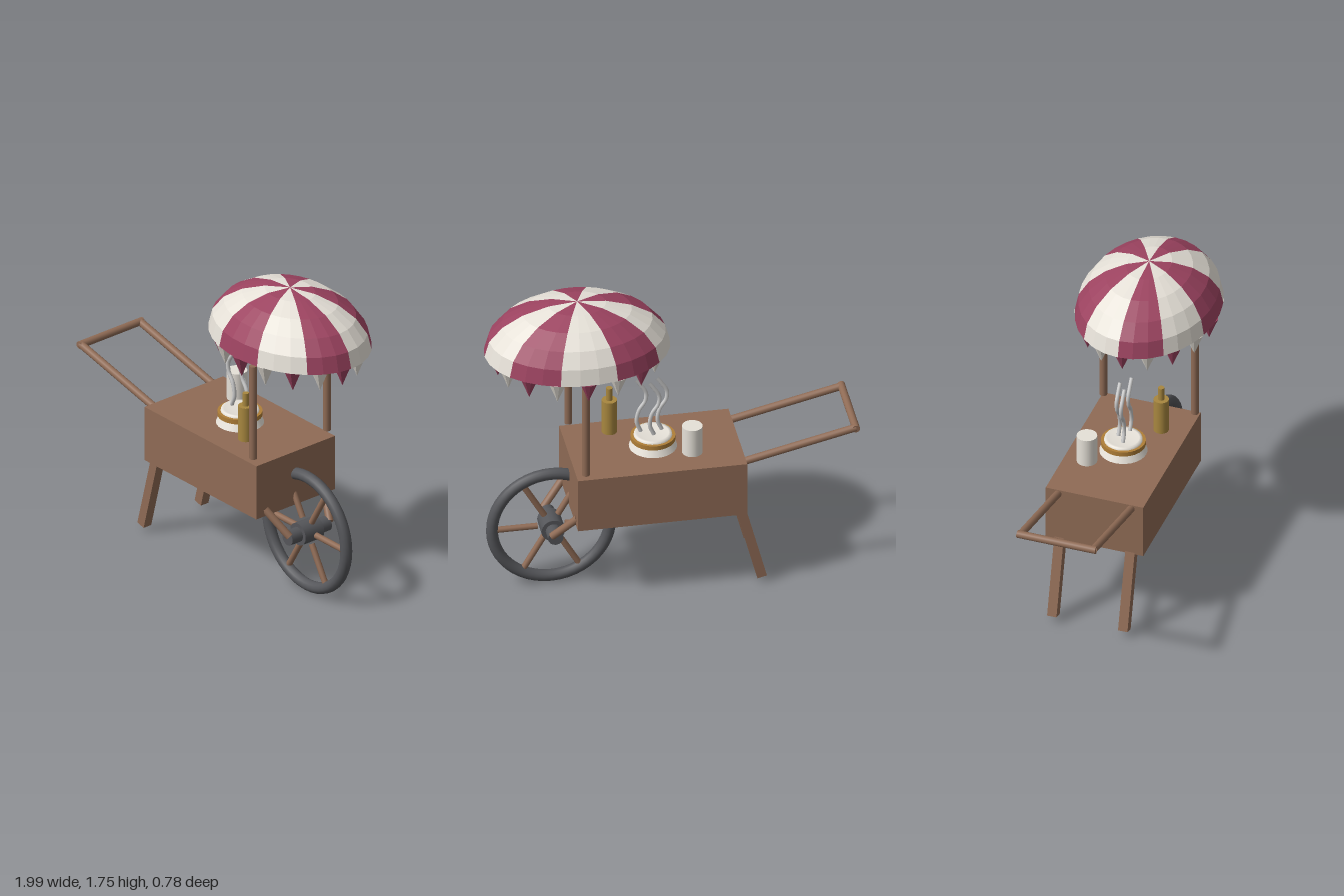
import * as THREE from 'three';

const mat = (color, extra = {}) => new THREE.MeshStandardMaterial({ color, ...extra });

export function createModel() {
  const model = new THREE.Group();
  const wood = mat(0x8f6b55);
  const iron = mat(0x55565a);
  const cream = mat(0xe6e1d8);
  const mustard = mat(0xa8873f);
  const brass = mat(0xb07f38);
  const grey = mat(0xcccccc);
  const clothRed = mat(0x9c4360, { flatShading: true, side: THREE.DoubleSide });
  const clothCream = mat(0xe6e1d8, { flatShading: true, side: THREE.DoubleSide });

  const add = (name, geometry, material, x = 0, y = 0, z = 0, parent = model) => {
    const mesh = new THREE.Mesh(geometry, material);
    mesh.name = name;
    mesh.position.set(x, y, z);
    parent.add(mesh);
    return mesh;
  };

  // Round or square bar between two points
  const bar = (name, a, b, size, material, square = false) => {
    const from = new THREE.Vector3(...a);
    const to = new THREE.Vector3(...b);
    const length = from.distanceTo(to);
    const geometry = square
      ? new THREE.BoxGeometry(size, length, size)
      : new THREE.CylinderGeometry(size, size, length, 16);
    const mesh = add(name, geometry, material);
    mesh.position.lerpVectors(from, to, 0.5);
    mesh.quaternion.setFromUnitVectors(new THREE.Vector3(0, 1, 0), to.sub(from).normalize());
    return mesh;
  };

  // Cart box
  add('cartBody', new THREE.BoxGeometry(0.915, 0.317, 0.55), wood, 0.078, 0.634, 0);

  // Paired parts on both sides
  for (const s of [1, -1]) {
    bar('leg', [-0.348, 0.5, 0.2 * s], [-0.469, 0.036, 0.2 * s], 0.053, wood, true);
    bar('handleRail', [-0.375, 0.768, 0.206 * s], [-0.98, 0.91, 0.206 * s], 0.021, wood);
    bar('canopyPost', [0.49, 0.818, 0.258 * s], [0.49, 1.37, 0.258 * s], 0.021, wood);
    bar('axleStrut', [0.525, 0.51, 0.205 * s], [0.65, 0.372, 0.14 * s], 0.021, wood);
  }
  bar('handleGrip', [-0.978, 0.91, -0.222], [-0.978, 0.91, 0.222], 0.021, wood);

  // Wheel
  const [wx, wy] = [0.63, 0.355];
  add('tyre', new THREE.TorusGeometry(0.32, 0.032, 14, 48), iron, wx, wy, 0);
  bar('hub', [wx, wy, -0.065], [wx, wy, 0.065], 0.064, iron);
  bar('axle', [wx, wy, -0.138], [wx, wy, 0.138], 0.042, iron);
  for (let i = 0; i < 6; i++) {
    const c = Math.cos((i * Math.PI) / 3);
    const s = Math.sin((i * Math.PI) / 3);
    bar('spoke', [wx + 0.075 * c, wy + 0.075 * s, 0], [wx + 0.295 * c, wy + 0.295 * s, 0], 0.017, wood);
  }

  // Striped oval canopy: ten panels of a flattened dome
  const canopy = new THREE.Group();
  canopy.name = 'canopy';
  canopy.position.set(0.49, 1.46, 0);
  model.add(canopy);
  const panelArc = Math.PI / 5;
  for (let i = 0; i < 10; i++) {
    const panel = new THREE.SphereGeometry(1, 2, 5, i * panelArc, panelArc, 0, Math.PI / 2);
    panel.scale(0.5, 0.292, 0.382);
    // the panel centred on +z is red
    add('canopyPanel', panel, i % 2 ? clothRed : clothCream, 0, 0, 0, canopy);
  }
  const frontPanel = canopy.children.find((p) => {
    p.geometry.computeBoundingBox();
    const b = p.geometry.boundingBox;
    return Math.abs(b.min.x + b.max.x) < 0.01 && b.max.z > 0.3;
  });
  if (frontPanel && frontPanel.material !== clothRed) {
    canopy.children.forEach((p) => (p.material = p.material === clothRed ? clothCream : clothRed));
  }

  // Hanging cone fringe
  for (let i = 0; i < 16; i++) {
    const a = (i * Math.PI) / 8;
    const cone = new THREE.ConeGeometry(0.05, 0.125, 10);
    cone.rotateX(Math.PI);
    add('fringeCone', cone, i % 2 ? clothCream : clothRed,
      0.428 * Math.cos(a), -0.063, 0.338 * Math.sin(a), canopy);
  }

  // Bowl with brass band
  const turned = (points) =>
    new THREE.LatheGeometry(points.map(([r, y]) => new THREE.Vector2(r, y)), 28);
  add('bowlBase', new THREE.CylinderGeometry(0.1, 0.13, 0.06, 28), cream, 0.08, 0.82, 0);
  add('bowlBand', new THREE.CylinderGeometry(0.12, 0.12, 0.026, 28), brass, 0.08, 0.848, 0);
  add('bowlTop', turned([[0.104, 0], [0.1, 0.016], [0.085, 0.016], [0.06, 0.01], [0, 0.008]]),
    cream, 0.08, 0.858, 0);

  // Steam wisps
  [[0.03, 0.015], [0.08, -0.028], [0.143, 0.015]].forEach(([x, z]) => {
    const path = new THREE.CatmullRomCurve3(
      [[0, 0.88], [0.022, 0.94], [0.01, 1.01], [-0.025, 1.07], [-0.028, 1.12], [0, 1.17], [0.027, 1.208]]
        .map(([dx, y]) => new THREE.Vector3(x + dx, y, z)));
    add('steam', new THREE.TubeGeometry(path, 40, 0.011, 8), grey);
  });

  // Cup and sauce bottle
  add('cup', new THREE.CylinderGeometry(0.055, 0.055, 0.165, 24), cream, -0.107, 0.9, -0.139);
  add('bottleBody', new THREE.CylinderGeometry(0.041, 0.041, 0.2, 24), mustard, 0.29, 0.917, 0.139);
  add('bottleNeck', new THREE.CylinderGeometry(0.017, 0.017, 0.08, 16), mustard, 0.29, 1.052, 0.139);

  return model;
}
